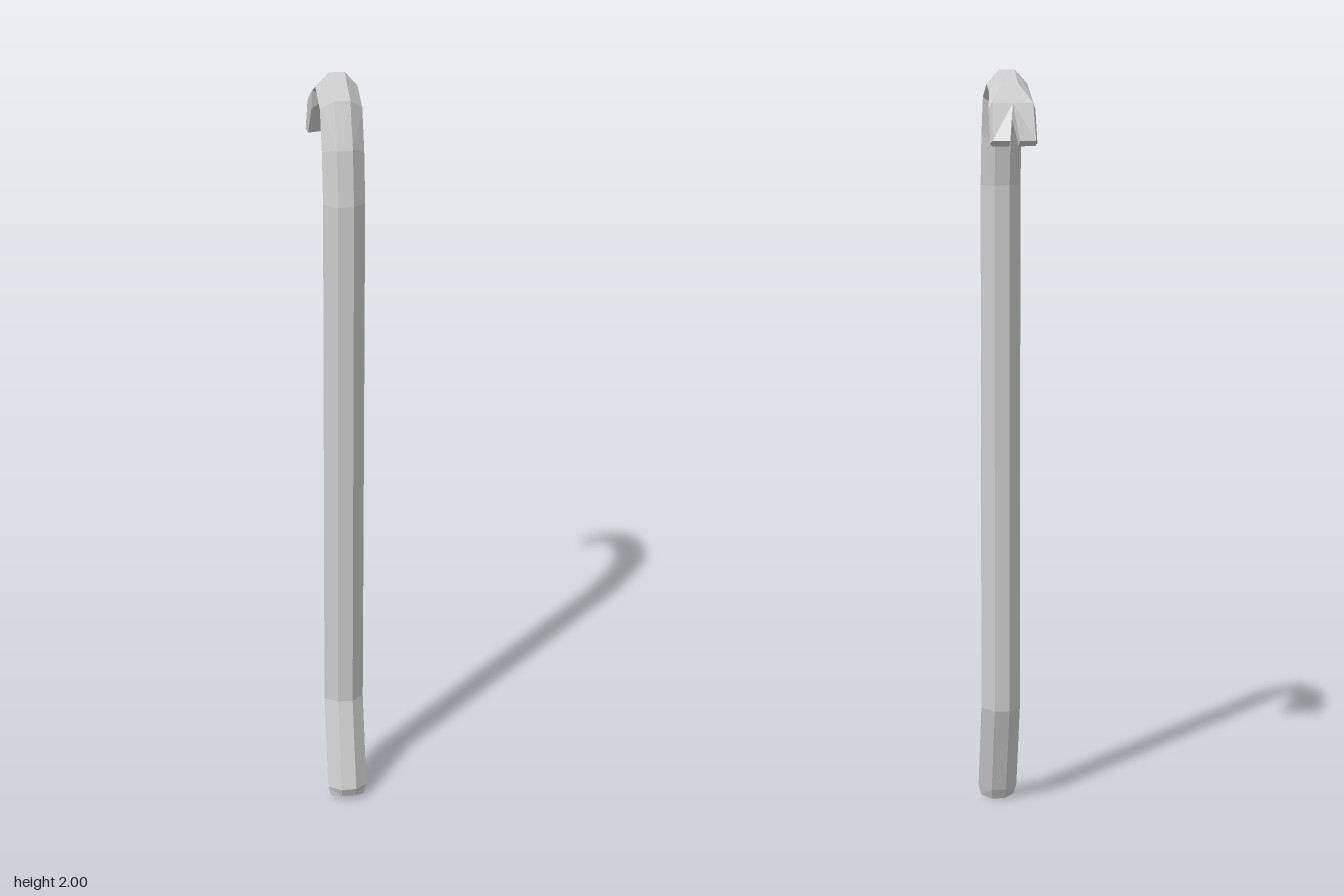
import * as THREE from 'three';

// Stations along the bar, from the foot to the claw tip.
// o / i: [z, y] of the outer and inner faces, a: half width of those faces,
// w: half width at the side ridge, s: half width of the claw slot, k: slant of the end
const bar = (o, i, extra = {}) => ({ o, i, a: 0.02, w: 0.053, s: 0, k: 0, ...extra });
const STATIONS = [
  bar([0.184, 0.018], [0.146, 0.003], { a: 0.018, w: 0.045 }),
  bar([0.195, 0.045], [0.132, 0.032]),
  bar([0.125, 0.285], [0.06, 0.275]),
  bar([0.125, 1.70], [0.06, 1.70]),
  bar([0.105, 1.84], [0.042, 1.82]),
  bar([0.062, 1.955], [0.018, 1.905]),
  bar([-0.037, 2.0], [-0.04, 1.927]),
  bar([-0.1, 1.966], [-0.083, 1.917]),
  bar([-0.152, 1.916], [-0.118, 1.885], { a: 0.052, w: 0.06 }),
  bar([-0.196, 1.822], [-0.174, 1.808], { a: 0.055, w: 0.06, s: 0.012, k: 0.25 }),
];

// Half of a cross-section on the +x side: outer face, side ridge, inner face
function halfRing({ o, i, a, w, s, k }) {
  const mid = [(o[0] + i[0]) / 2, (o[1] + i[1]) / 2];
  return [[s, o], [a, o], [w, mid], [a, i], [s, i]]
    .map(([x, [z, y]]) => [x, y, z + k * (x - s)]);
}

// Skin a run of stations, mirrored across x = 0
function sweep(from, to, { capStart = false, capEnd = false, slot = false } = {}) {
  const rings = STATIONS.slice(from, to + 1).map(halfRing);
  const pos = [];
  const tri = (a, b, c) => {
    pos.push(...a, ...b, ...c);
    for (const [x, y, z] of [a, c, b]) pos.push(-x, y, z);
  };
  for (let r = 0; r < rings.length - 1; r++) {
    const p = rings[r], q = rings[r + 1];
    for (let j = 0; j < (slot ? 5 : 4); j++) {
      const n = (j + 1) % 5;
      tri(p[j], p[n], q[n]);
      tri(p[j], q[n], q[j]);
    }
  }
  const first = rings[0], last = rings[rings.length - 1];
  for (let j = 1; j < 4; j++) {
    if (capStart) tri(first[0], first[j + 1], first[j]);
    if (capEnd) tri(last[0], last[j], last[j + 1]);
  }
  const geo = new THREE.BufferGeometry();
  geo.setAttribute('position', new THREE.Float32BufferAttribute(pos, 3));
  geo.computeVertexNormals();
  return geo;
}

export function createModel() {
  const group = new THREE.Group();
  group.name = 'crowbar';
  const steel = new THREE.MeshStandardMaterial({ color: 0xcccccc, flatShading: true });
  const add = (name, geo) => {
    const mesh = new THREE.Mesh(geo, steel);
    mesh.name = name;
    group.add(mesh);
  };

  add('bentFoot', sweep(0, 2, { capStart: true }));
  add('shaft', sweep(2, 3));
  add('hook', sweep(3, 8));
  // two prongs with a V slot between them
  add('claw', sweep(8, 9, { capEnd: true, slot: true }));
  return group;
}
